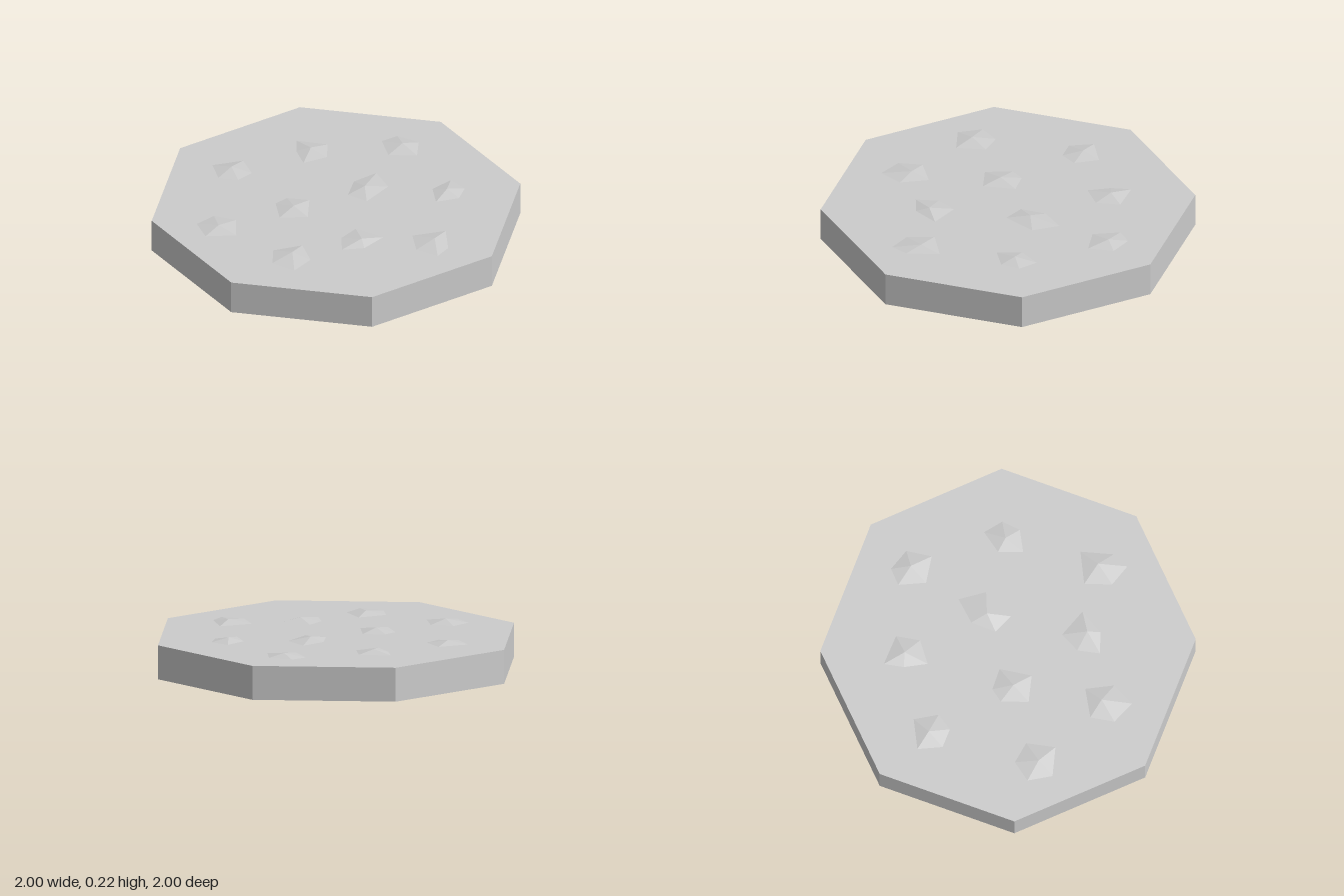
import * as THREE from 'three';
import { ConvexGeometry } from 'three/addons/geometries/ConvexGeometry.js';

const BOTTOM = 0.018, TOP = 0.202, HEIGHT = 0.22;

// Each chip: peak position [x, z], then its five-sided rim as offsets from the peak (hundredths)
const CHIPS = [
  [[-0.03, -0.68], [-12, 2, -8, -7, 5, -8, 12, 4, -1, 12]],
  [[0.43, -0.42], [-5, -11, 6, -8, 9, 2, 1, 12, -8, 2]],
  [[-0.41, -0.37], [-12, -4, 4, -10, 11, 1, 4, 13, -6, 5]],
  [[0.05, -0.2], [-4, -17, 9, -9, 8, 10, -4, 10, -9, -3]],
  [[-0.65, 0.03], [0, -11, 11, -3, 9, 7, -1, 11, -11, 2]],
  [[0.66, 0.04], [-1, -12, 10, 2, 10, 12, -3, 13, -13, 2]],
  [[-0.15, 0.18], [2, -12, 11, 3, -1, 12, -11, 1, -9, -7]],
  [[0.34, 0.26], [-10, -9, 7, -10, 5, 5, -4, 13, -11, 3]],
  [[-0.37, 0.57], [3, -12, 12, 1, -1, 11, -12, 3, -9, -9]],
  [[0.11, 0.58], [-1, -11, 11, -1, 10, 13, -4, 13, -11, 2]],
];

// A faceted chip set right through the disc, with a shallow peak on both faces
function chipGeometry(rim) {
  const points = [new THREE.Vector3(0, 0, 0), new THREE.Vector3(0, HEIGHT, 0)];
  for (let i = 0; i < rim.length; i += 2) {
    for (const y of [BOTTOM, TOP]) {
      points.push(new THREE.Vector3(rim[i] / 100, y, rim[i + 1] / 100));
    }
  }
  return new ConvexGeometry(points);
}

export function createModel() {
  const model = new THREE.Group();
  model.name = 'chipCookie';
  const material = new THREE.MeshStandardMaterial({ color: 0xcccccc, flatShading: true });

  // Eight-sided disc
  const disc = new THREE.Mesh(new THREE.CylinderGeometry(1, 1, TOP - BOTTOM, 8), material);
  disc.name = 'cookieDisc';
  disc.position.y = (TOP + BOTTOM) / 2;
  model.add(disc);

  // Scattered chips
  const chips = new THREE.Group();
  chips.name = 'chips';
  CHIPS.forEach(([[x, z], rim], i) => {
    const chip = new THREE.Mesh(chipGeometry(rim), material);
    chip.name = `chip${i + 1}`;
    chip.position.set(x, 0, z);
    chips.add(chip);
  });
  model.add(chips);

  return model;
}
